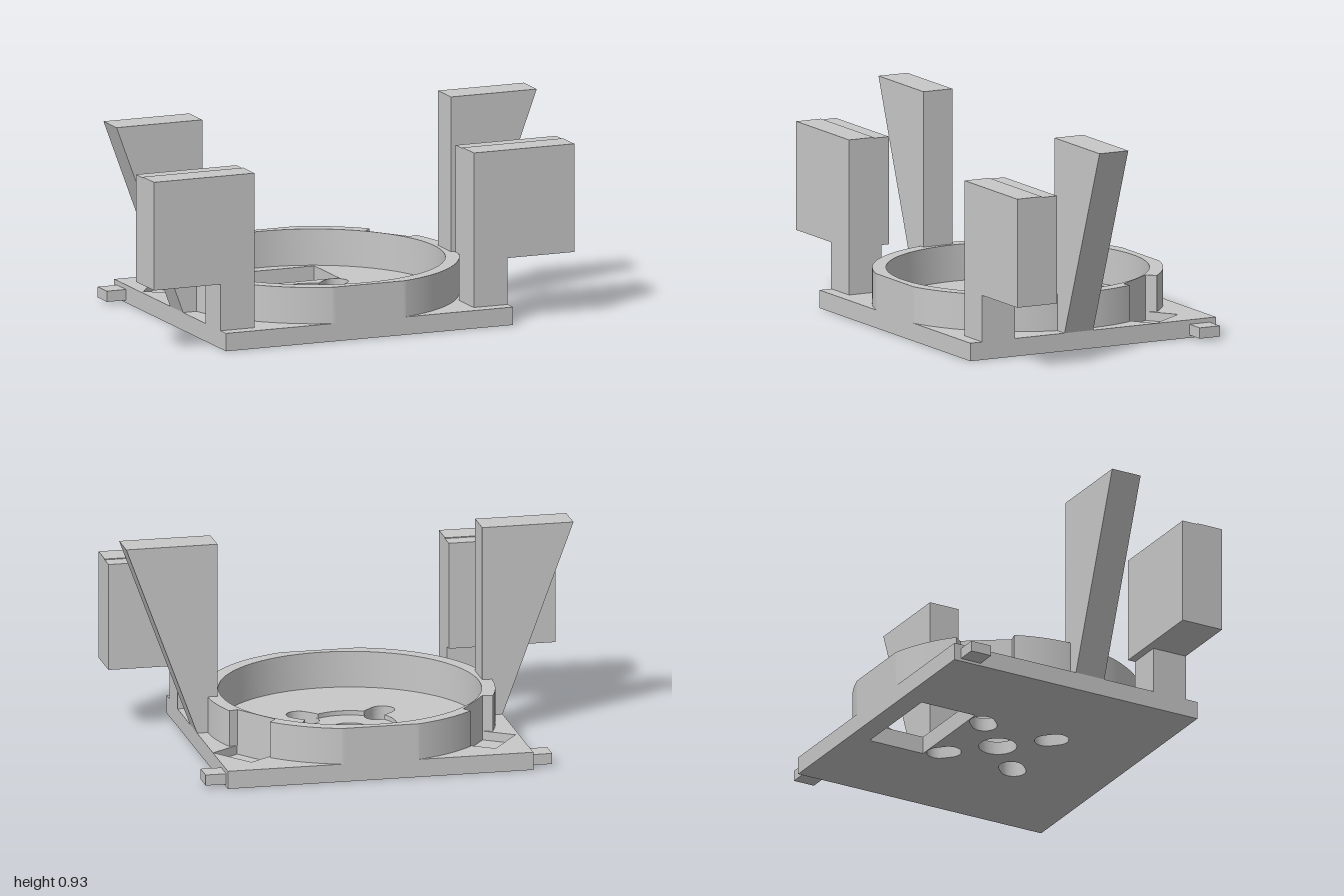
import * as THREE from 'three';
import { toCreasedNormals } from 'three/addons/utils/BufferGeometryUtils.js';

const TAU = Math.PI * 2;
const HALF_X = 0.683, HALF_Z = 0.612;
const PLATE_TOP = 0.08, RECESS_Y = 0.06, POCKET_Y = 0.04, RING_TOP = 0.242;
const V = (x, z) => new THREE.Vector2(x, -z); // plan point: shape y is -z

// Two slanted pockets that cut into the ring: outward angle, lateral and radial range
const pockets = [
  { angle: Math.atan2(-0.565, -0.825), lo: -0.107, hi: 0.123, near: 0.581, far: 0.735 },
  { angle: Math.atan2(-0.585, 0.81), lo: -0.078, hi: 0.144, near: 0.579, far: 0.736 },
];

function polar(radius, n) {
  const pts = [];
  for (let i = 0; i < n; i++) {
    const a = (i / n) * TAU, r = typeof radius === 'function' ? radius(a) : radius;
    pts.push(V(r * Math.cos(a), r * Math.sin(a)));
  }
  return pts;
}

function rect(x0, x1, z0, z1) {
  return [V(x0, z0), V(x1, z0), V(x1, z1), V(x0, z1)];
}

function pocketOutline({ angle, lo, hi, near, far }) {
  const c = Math.cos(angle), s = Math.sin(angle);
  return [[near, lo], [far, lo], [far, hi], [near, hi]].map(([d, l]) => V(c * d - s * l, s * d + c * l));
}

// Radial capsule slot on a diagonal
const SLOT_A = 0.222, SLOT_B = 0.264, SLOT_R = 0.055;
function slotOutline(k) {
  const a = Math.PI / 4 + (k * Math.PI) / 2, pts = [];
  for (let i = 0; i < 34; i++) {
    const outer = i <= 16;
    const t = outer ? -Math.PI / 2 + (i / 16) * Math.PI : Math.PI / 2 + ((i - 17) / 16) * Math.PI;
    const d = (outer ? SLOT_B : SLOT_A) + SLOT_R * Math.cos(t), l = SLOT_R * Math.sin(t);
    pts.push(V(Math.cos(a) * d - Math.sin(a) * l, Math.sin(a) * d + Math.cos(a) * l));
  }
  return pts;
}

// Centre recess joined with the outer ends of the four slots
function recessRadius(a) {
  const quarter = Math.PI / 2;
  const f = Math.abs((((a % quarter) + quarter) % quarter) - quarter / 2);
  let r = 0;
  if (Math.tan(f) < SLOT_R / SLOT_B) {
    r = SLOT_B * Math.cos(f) + Math.sqrt(SLOT_R ** 2 - (SLOT_B * Math.sin(f)) ** 2);
  } else if (Math.tan(f) < SLOT_R / SLOT_A) {
    r = SLOT_R / Math.sin(f);
  }
  return Math.max(0.205, r);
}

// Ring outside: trimmed by the front and back plate edges and by the pockets
function ringRadius(a) {
  let r = Math.min(0.635, HALF_Z / Math.max(Math.abs(Math.sin(a)), 1e-6));
  for (const p of pockets) {
    const d = a - p.angle;
    if (Math.cos(d) < 0.5) continue;
    const lateral = p.near * Math.tan(d);
    if (lateral > p.lo && lateral < p.hi) r = Math.min(r, p.near / Math.cos(d));
  }
  return r;
}

// Horizontal layer; the outline runs opposite to the holes so every wall faces outward
function slab(outline, holes, y0, y1) {
  const shape = new THREE.Shape([...outline].reverse());
  shape.holes = holes.map((h) => new THREE.Path(h));
  const geo = new THREE.ExtrudeGeometry(shape, { depth: y1 - y0, bevelEnabled: false });
  geo.rotateX(-Math.PI / 2).translate(0, y0, 0);
  return toCreasedNormals(geo, 0.4);
}

export function createModel() {
  const model = new THREE.Group();
  model.name = 'mountingBracket';
  const gray = new THREE.MeshStandardMaterial({ color: 0xc8c8c8 });
  gray.name = 'plainGray';

  const add = (name, geo) => {
    const mesh = new THREE.Mesh(geo, gray);
    mesh.name = name;
    model.add(mesh);
  };
  // Box given by its inner and outer distance from the centre line, mirrored by side
  const box = (name, side, x0, x1, y0, y1, z0, z1) => add(name, new THREE.BoxGeometry(x1 - x0, y1 - y0, z1 - z0)
    .translate((side * (x0 + x1)) / 2, (y0 + y1) / 2, (z0 + z1) / 2));

  // Base plate in layers, with window, centre hole, slots, pockets and recess
  const edge = rect(-HALF_X, HALF_X, -HALF_Z, HALF_Z);
  const windowHole = rect(-0.227, 0.227, -0.515, -0.246);
  const through = [windowHole, polar(0.083, 48), ...[0, 1, 2, 3].map(slotOutline)];
  const pocketHoles = pockets.map(pocketOutline);
  add('basePlateBottom', slab(edge, through, 0, POCKET_Y));
  add('basePlateMiddle', slab(edge, [...through, ...pocketHoles], POCKET_Y, RECESS_Y));
  add('basePlateTop', slab(edge, [windowHole, polar(recessRadius, 240), ...pocketHoles], RECESS_Y, PLATE_TOP));

  // Raised ring wall
  add('ringWall', slab(polar(ringRadius, 720), [polar(0.575, 120)], PLATE_TOP, RING_TOP));

  for (const side of [1, -1]) {
    const prefix = side > 0 ? 'left' : 'right';
    // Front arm: post carrying an overhanging block with a slightly lower backing
    box(prefix + 'FrontPost', side, 0.522, 0.683, 0.08, 0.29, 0.39, 0.553);
    box(prefix + 'FrontBlock', side, 0.522, 1, 0.287, 0.77, 0.43, 0.553);
    box(prefix + 'FrontBlockBacking', side, 0.522, 1, 0.287, 0.766, 0.355, 0.43);
    // Rear arm: tapered fin
    const fin = new THREE.Shape([[0.592, 0.08], [0.683, 0.08], [1, 0.933], [0.592, 0.933]]
      .map(([x, y]) => new THREE.Vector2(side * x, y)));
    add(prefix + 'RearArm', new THREE.ExtrudeGeometry(fin, { depth: 0.143, bevelEnabled: false }));
    // Side tab near the back corner
    box(prefix + 'SideTab', side, 0.67, 0.775, 0.012, 0.06, -0.58, -0.48);
  }
  return model;
}
